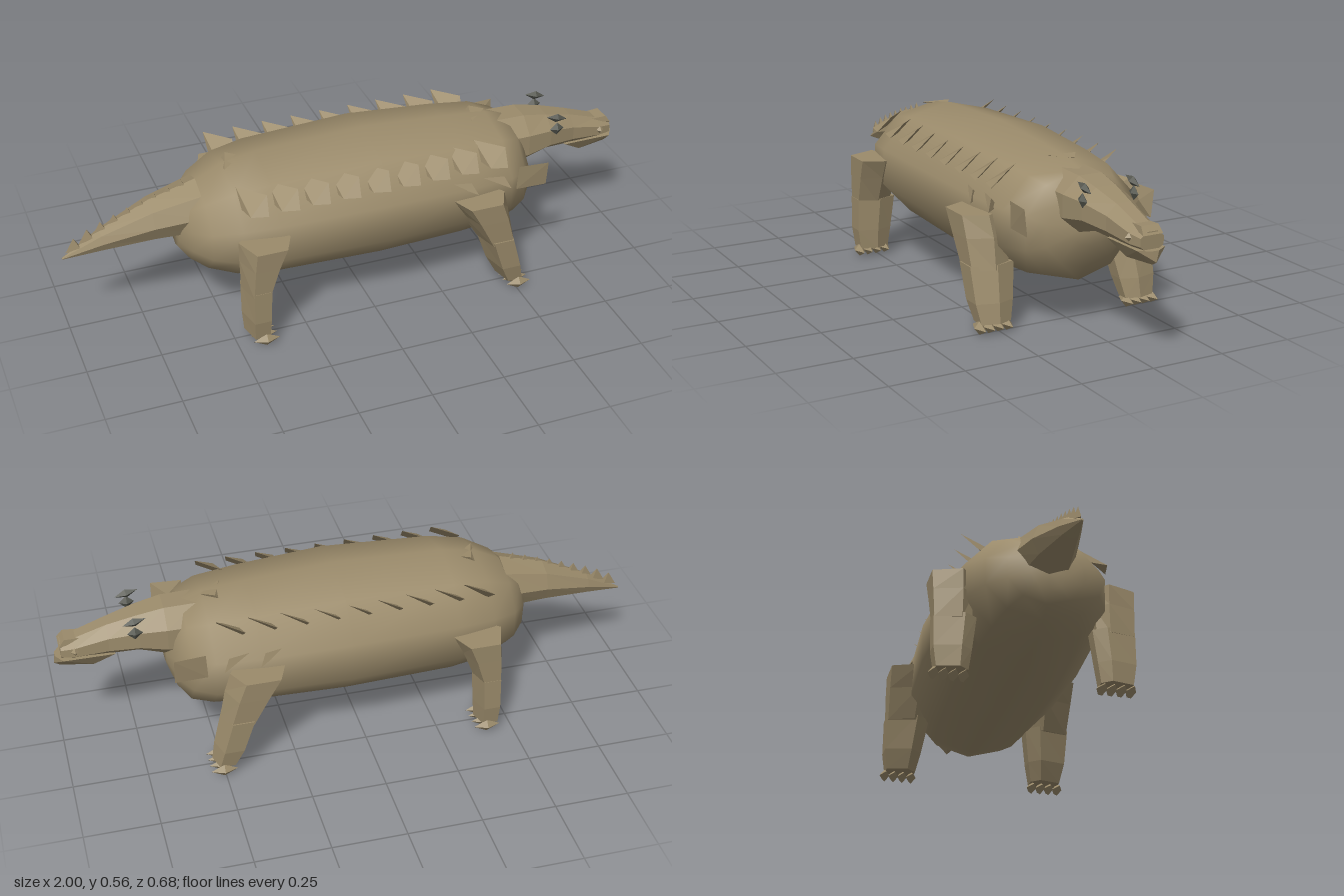
import * as THREE from 'three';
import { ConvexGeometry } from 'three/addons/geometries/ConvexGeometry.js';

const hide = new THREE.MeshStandardMaterial({ color: 0x9b8b6b });
hide.name = 'tan hide';
const dark = new THREE.MeshStandardMaterial({ color: 0x565850 });
dark.name = 'dark grey';

// Skin a closed surface over rings of points, capped at both ends
function loft(rings, smooth) {
  const n = rings[0].length;
  const pts = rings.flat();
  const idx = [];
  for (let r = 0; r < rings.length - 1; r++) {
    for (let i = 0; i < n; i++) {
      const a = r * n + i, b = r * n + (i + 1) % n;
      idx.push(a, b, a + n, b, b + n, a + n);
    }
  }
  const mid = (ring) => ring.reduce((s, p) => s.add(p), new THREE.Vector3()).divideScalar(n);
  const first = pts.push(mid(rings[0])) - 1;
  const last = pts.push(mid(rings[rings.length - 1])) - 1;
  const top = (rings.length - 1) * n;
  for (let i = 0; i < n; i++) {
    const j = (i + 1) % n;
    idx.push(first, j, i, last, top + i, top + j);
  }
  // Turn the faces outward if the enclosed volume is negative
  let volume = 0;
  const c = new THREE.Vector3();
  for (let i = 0; i < idx.length; i += 3) {
    volume += pts[idx[i]].dot(c.crossVectors(pts[idx[i + 1]], pts[idx[i + 2]]));
  }
  if (volume < 0) idx.reverse();
  let geo = new THREE.BufferGeometry().setFromPoints(pts);
  geo.setIndex(idx);
  if (!smooth) geo = geo.toNonIndexed();
  geo.computeVertexNormals();
  return geo;
}

// Upright ring across the length: [x, centre y, half height, half width]
const crossRing = (sides, turn = 0) => ([x, cy, ry, rz]) =>
  Array.from({ length: sides }, (_, i) => {
    const a = (i / sides) * Math.PI * 2 + turn;
    return new THREE.Vector3(x, cy + Math.cos(a) * ry, Math.sin(a) * rz);
  });

// Irregular horizontal ring for limbs: [y, x0, x1, z0, z1]
const LIMB = [[-1, -0.4], [-0.4, -1], [0.6, -1], [1, -0.1], [0.6, 1], [-0.6, 1]];
const limbRing = (side) => ([y, x0, x1, z0, z1]) =>
  LIMB.map(([u, v]) => new THREE.Vector3(
    (x0 + x1) / 2 + u * (x1 - x0) / 2, y, side * ((z0 + z1) / 2 + v * (z1 - z0) / 2)));

const hull = (points) => new ConvexGeometry(points.map((p) => new THREE.Vector3(...p)));

export function createModel() {
  const model = new THREE.Group();
  const add = (name, geo, material = hide, parent = model) => {
    const mesh = new THREE.Mesh(geo, material);
    mesh.name = name;
    parent.add(mesh);
    return mesh;
  };

  // Ten-sided barrel body
  add('body', loft([
    [-0.62, 0.32, 0.07, 0.06], [-0.59, 0.325, 0.115, 0.13], [-0.54, 0.33, 0.152, 0.195],
    [-0.45, 0.337, 0.192, 0.245], [-0.33, 0.34, 0.21, 0.268], [0.05, 0.345, 0.22, 0.288],
    [0.35, 0.338, 0.207, 0.272], [0.5, 0.335, 0.196, 0.25], [0.57, 0.33, 0.18, 0.205],
    [0.61, 0.325, 0.12, 0.15], [0.635, 0.32, 0.04, 0.06],
  ].map(crossRing(10)), true));

  // Tapering tail with a crest of small teeth
  add('tail', loft([
    [-0.54, 0.395, 0.095, 0.105], [-0.7, 0.372, 0.072, 0.075],
    [-0.87, 0.327, 0.038, 0.036], [-1, 0.282, 0.003, 0.003],
  ].map(crossRing(8))));
  const crest = new THREE.Group();
  crest.name = 'tailCrest';
  model.add(crest);
  for (let i = 0; i < 9; i++) {
    const x = -0.965 + i * 0.046;
    const y = THREE.MathUtils.lerp(0.305, 0.45, Math.pow(i / 8, 0.85));
    add('tailTooth', hull([
      [x - 0.022, y - 0.005, 0], [x + 0.026, y + 0.012, 0.012], [x + 0.026, y + 0.012, -0.012],
      [x + 0.008, y + 0.046, 0],
    ]), hide, crest);
  }

  // Neck, skull and snout
  add('head', loft([
    [0.52, 0.42, 0.1, 0.108], [0.63, 0.42, 0.098, 0.106], [0.72, 0.425, 0.074, 0.092],
    [0.82, 0.41, 0.062, 0.066], [0.93, 0.392, 0.042, 0.055], [0.975, 0.388, 0.034, 0.044],
  ].map(crossRing(8, Math.PI / 8))));
  add('lowerJaw', hull([
    [0.8, 0.36, 0.045], [0.8, 0.36, -0.045], [0.8, 0.345, 0],
    [0.87, 0.315, 0.02], [0.87, 0.315, -0.02],
    [0.97, 0.365, 0.05], [0.97, 0.365, -0.05], [0.98, 0.318, 0], [1, 0.33, 0], [0.995, 0.365, 0.012],
    [0.995, 0.365, -0.012],
  ]));
  add('noseRidge', hull([
    [0.86, 0.43, 0.025], [0.86, 0.43, -0.025], [0.96, 0.435, 0.03], [0.96, 0.435, -0.03],
    [0.98, 0.41, 0.035], [0.98, 0.41, -0.035], [0.9, 0.4, 0],
  ]));

  // Two rows of leaning back scutes, both leaning the same way
  for (const [name, shift] of [['leftScute', 0], ['rightScute', -0.375]]) {
    for (let i = 0; i < 9; i++) {
      const x = -0.44 + i * 0.105;
      add(name, hull([
        [x, 0.51, 0.13 + shift], [x, 0.46, 0.19 + shift], [x + 0.012, 0.463, 0.25 + shift],
        [x + 0.08, 0.51, 0.21 + shift], [x + 0.07, 0.46, 0.26 + shift],
      ]));
    }
  }

  // Small spines on the midline over hips and shoulders
  for (const x of [-0.45, 0.43]) {
    add('midlineSpine', hull([
      [x, 0.5, -0.05], [x, 0.53, 0.045], [x + 0.075, 0.531, -0.02], [x + 0.03, 0.536, -0.05],
    ]));
  }

  for (const side of [1, -1]) {
    const prefix = side > 0 ? 'left' : 'right';

    // Eye and raised brow
    const eye = add(prefix + 'Eye', new THREE.OctahedronGeometry(1), dark);
    eye.scale.set(0.026, 0.024, 0.013);
    eye.position.set(0.735, 0.464, side * 0.092);
    const brow = add(prefix + 'Brow', new THREE.OctahedronGeometry(1), dark);
    brow.scale.set(0.04, 0.016, 0.014);
    brow.rotation.z = -0.25;
    brow.position.set(0.735, 0.503, side * 0.086);

    const nostril = add(prefix + 'Nostril', new THREE.OctahedronGeometry(0.014));
    nostril.position.set(0.93, 0.397, side * 0.052);

    // Loose shoulder plate and shoulder spikes
    add(prefix + 'ShoulderPlate', hull([
      [0.525, 0.34, side * 0.222], [0.53, 0.43, side * 0.226], [0.635, 0.43, side * 0.235],
      [0.635, 0.34, side * 0.225], [0.58, 0.385, side * 0.215],
    ]));
    for (const x of [0.27, 0.39]) {
      add(prefix + 'ShoulderSpike', hull([
        [x, 0.425, side * 0.24], [x + 0.07, 0.425, side * 0.255],
        [x + 0.09, 0.385, side * 0.275], [x + 0.05, 0.39, side * 0.22],
      ]));
    }

    // Legs, each an upper and lower part with four toes
    const limbs = {
      FrontLeg: {
        upper: [[0.37, 0.27, 0.46, 0.2, 0.337], [0.3, 0.315, 0.48, 0.19, 0.335], [0.2, 0.375, 0.5, 0.2, 0.33]],
        lower: [[0.215, 0.375, 0.495, 0.18, 0.335], [0.1, 0.415, 0.525, 0.2, 0.332], [0.035, 0.45, 0.535, 0.215, 0.32]],
        toe: 0.505,
      },
      HindLeg: {
        upper: [[0.37, -0.47, -0.3, 0.2, 0.335], [0.3, -0.47, -0.335, 0.2, 0.332], [0.2, -0.468, -0.375, 0.205, 0.328]],
        lower: [[0.215, -0.468, -0.37, 0.19, 0.33], [0.1, -0.47, -0.375, 0.205, 0.33], [0.03, -0.465, -0.38, 0.215, 0.32]],
        toe: -0.41,
      },
    };
    for (const [limb, { upper, lower, toe }] of Object.entries(limbs)) {
      const leg = new THREE.Group();
      leg.name = prefix + limb;
      model.add(leg);
      add('upperLeg', loft(upper.map(limbRing(side))), hide, leg);
      add('lowerLeg', loft(lower.map(limbRing(side))), hide, leg);
      for (let i = 0; i < 4; i++) {
        const claw = add('toe', new THREE.OctahedronGeometry(1), hide, leg);
        claw.scale.set(0.045, 0.023, 0.018);
        claw.position.set(toe, 0.023, side * (0.225 + i * 0.032));
      }
    }
  }
  return model;
}
